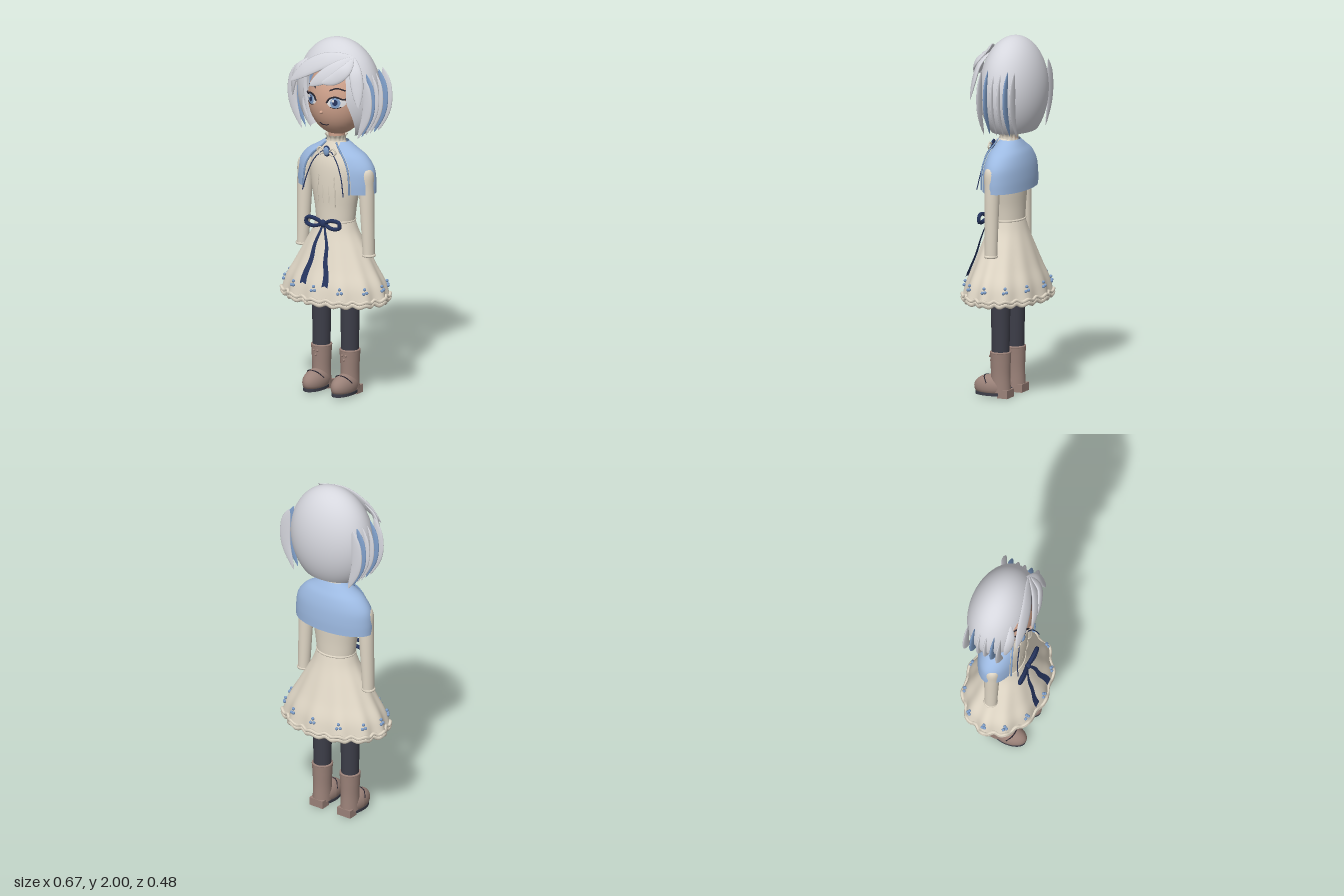
import * as THREE from 'three';
import { mergeVertices } from 'three/addons/utils/BufferGeometryUtils.js';

const V = (x, y, z) => new THREE.Vector3(x, y, z);
const mat = (name, color, double) => {
  const m = new THREE.MeshStandardMaterial({ color });
  m.name = name;
  if (double) m.side = THREE.DoubleSide;
  return m;
};

// smooth surface from a rule (u, v) -> point
function grid(fn, nu, nv) {
  const pos = [], idx = [];
  for (let j = 0; j <= nv; j++)
    for (let i = 0; i <= nu; i++) pos.push(...fn(i / nu, j / nv).toArray());
  for (let j = 0; j < nv; j++)
    for (let i = 0; i < nu; i++) {
      const a = j * (nu + 1) + i, d = a + nu + 1;
      idx.push(a, a + 1, d + 1, a, d + 1, d);
    }
  let g = new THREE.BufferGeometry();
  g.setAttribute('position', new THREE.Float32BufferAttribute(pos, 3));
  g.setIndex(idx);
  g = mergeVertices(g, 1e-5);
  g.computeVertexNormals();
  return g;
}

// elliptical cross-sections [y, rx, rz], bottom to top
function loft(rings, { cz = 0, gap = () => 0, flute = () => 1, nu = 48, nv = 24 } = {}) {
  const curve = new THREE.CatmullRomCurve3(rings.map(r => V(...r)), false, 'centripetal');
  return grid((u, v) => {
    const r = curve.getPoint(v), h = gap(v), a = h + u * (2 * Math.PI - 2 * h), f = flute(a, v);
    return V(r.y * f * Math.sin(a), r.x, cz + r.z * f * Math.cos(a));
  }, nu, nv);
}

// flattened pointed strand along a path
function leaf(pts, width, thick, normalAt) {
  const c = new THREE.CatmullRomCurve3(pts.map(p => V(...p)));
  return grid((u, v) => {
    const p = c.getPoint(v), t = c.getTangent(v), n = normalAt(p);
    const b = t.clone().cross(n).normalize(), a = u * 2 * Math.PI;
    const k = Math.pow(Math.sin(Math.PI * Math.min(0.999, Math.max(0.001, v))), 0.7);
    return p.addScaledVector(b, width * k * Math.cos(a)).addScaledVector(n, -thick * k * Math.sin(a));
  }, 14, 18);
}

const tube = (pts, r, closed = false, n = 24) =>
  new THREE.TubeGeometry(new THREE.CatmullRomCurve3(pts.map(p => V(...p)), closed), n, r, 6, closed);
const ball = (rx, ry = rx, rz = rx, n = 16) => new THREE.SphereGeometry(1, n * 2, n).scale(rx, ry, rz);

export function createModel() {
  const root = new THREE.Group();
  root.name = 'girlFigure';
  const skin = mat('skin', 0xcfa28c), hair = mat('silverHair', 0xd6d7de, true),
    cream = mat('creamCloth', 0xe0d7c6, true), cape = mat('capeBlue', 0x9dbae2, true),
    blue = mat('accentBlue', 0x7f9fca), navy = mat('navyRibbon', 0x26355f, true),
    tights = mat('darkTights', 0x3d3e49), boot = mat('bootBrown', 0x9b8279),
    white = mat('eyeWhite', 0xf1f1f4), dark = mat('darkLine', 0x2a2630);
  const add = (name, geo, m, x = 0, y = 0, z = 0) => {
    const o = new THREE.Mesh(geo, m);
    o.name = name;
    o.position.set(x, y, z);
    root.add(o);
    return o;
  };

  // head and neck
  const H = { y: 1.668, z: -0.015, rx: 0.165, ry: 0.208, rz: 0.152 };
  add('head', ball(H.rx, H.ry, H.rz, 24), skin, 0, H.y, H.z);
  add('neck', new THREE.CylinderGeometry(0.045, 0.045, 0.12, 24), skin, 0, 1.45, -0.01);
  const faceZ = (x, y) =>
    H.z + H.rz * Math.sqrt(Math.max(0, 1 - (x / H.rx) ** 2 - ((y - H.y) / H.ry) ** 2));

  // face details laid onto the head surface
  const patch = (name, x, y, rx, ry, off, m) => {
    const g = new THREE.RingGeometry(0.001, 1, 28, 5).scale(rx, ry, 1).translate(x, y, 0), p = g.attributes.position;
    for (let i = 0; i < p.count; i++) p.setZ(i, faceZ(p.getX(i), p.getY(i)) + off);
    g.computeVertexNormals();
    add(name, g, m);
  };
  const line = (name, pts, r, off, m) =>
    add(name, tube(pts.map(([x, y]) => [x, y, faceZ(x, y) + off]), r), m);
  for (const s of [1, -1]) {
    patch('eyeWhite', s * 0.082, 1.676, 0.046, 0.03, 0.004, white);
    patch('iris', s * 0.08, 1.676, 0.025, 0.029, 0.006, blue);
    patch('pupil', s * 0.08, 1.678, 0.013, 0.017, 0.008, navy);
    patch('eyeGlint', s * 0.08 - 0.009, 1.688, 0.007, 0.008, 0.01, white);
    line('upperLash', [[s * 0.034, 1.675], [s * 0.052, 1.7], [s * 0.083, 1.709], [s * 0.112, 1.697], [s * 0.136, 1.697]], 0.005, 0.007, dark);
    line('lowerLash', [[s * 0.055, 1.651], [s * 0.083, 1.645], [s * 0.11, 1.654]], 0.002, 0.006, dark);
    line('brow', [[s * 0.045, 1.742], [s * 0.08, 1.755], [s * 0.12, 1.742]], 0.004, 0.005, dark);
  }
  add('nose', ball(0.01, 0.009, 0.012, 8), skin, 0, 1.615, faceZ(0, 1.615) + 0.008);
  line('mouth', [[-0.03, 1.545], [-0.012, 1.537], [0, 1.538], [0.012, 1.537], [0.03, 1.545]], 0.003, 0.004, dark);

  // hair shell, open around the face
  const C = V(0, 1.7, -0.036), R = V(0.252, 0.3, 0.174);
  add('hairShell', grid((u, v) => {
    const e = -0.82 + v * (Math.PI / 2 + 0.82), y = C.y + R.y * Math.sin(e), k = Math.cos(e);
    const open = Math.min(1, Math.max(0, (1.885 - y) / 0.05));
    const h = open * (0.6 + 0.4 * Math.min(1, Math.max(0, (1.68 - y) / 0.2)));
    const a = h + u * (2 * Math.PI - 2 * h);
    return V(R.x * k * Math.sin(a), y, C.z + R.z * k * Math.cos(a));
  }, 64, 40), hair);

  // swept fringe
  const out = p => p.clone().sub(C).divide(R).divide(R).normalize();
  const fringe = [
    [0.047, [[0.15, 1.935, 0.05], [0.02, 1.91, 0.105], [-0.11, 1.84, 0.135], [-0.2, 1.765, 0.145]]],
    [0.043, [[0.16, 1.935, 0.05], [0.1, 1.88, 0.115], [0.02, 1.82, 0.155], [-0.06, 1.765, 0.172]]],
    [0.036, [[0.16, 1.93, 0.06], [0.145, 1.87, 0.12], [0.09, 1.82, 0.15], [0.02, 1.79, 0.17]]],
    [0.036, [[0.15, 1.93, 0.04], [0.19, 1.86, 0.085], [0.215, 1.77, 0.105], [0.232, 1.67, 0.12]]],
    [0.032, [[-0.13, 1.89, 0.08], [-0.18, 1.83, 0.1], [-0.21, 1.75, 0.1], [-0.225, 1.66, 0.09]]],
  ];
  for (const [w, pts] of fringe) add('fringeLock', leaf(pts, w, 0.011, out), hair);

  // side locks, some tinted blue
  const locks = [[-0.14, 0.036, 0], [-0.1, 0.03, 1], [-0.06, 0.022, 0], [-0.02, 0.022, 0], [0.02, 0.024, 1], [0.058, 0.032, 0]];
  for (const s of [1, -1])
    for (const [z, w, tint] of locks) {
      const i = -0.02 * Math.max(0, Math.abs(z + 0.02) - 0.05) * 5;
      add('sideLock', leaf([[s * 0.215, 1.84, z], [s * (0.246 + i), 1.75, z], [s * (0.245 + i), 1.62, z], [s * 0.185, 1.475, z]],
        w, 0.008, () => V(0, 0, 1)), tint ? blue : hair);
    }

  // bodice, collar and pleats
  add('bodice', loft([[0.97, 0.113, 0.09], [1.06, 0.125, 0.092], [1.18, 0.148, 0.098], [1.3, 0.15, 0.092], [1.38, 0.09, 0.07], [1.43, 0.05, 0.05]]), cream);
  add('collar', loft([[1.405, 0.055, 0.055], [1.44, 0.05, 0.05], [1.462, 0.06, 0.06]],
    { cz: -0.005, flute: (a, v) => 1 + 0.07 * v * Math.cos(14 * a), nu: 84, nv: 8 }), cream);
  for (const s of [1, -1])
    for (const [x, y0, y1] of [[0.018, 1.06, 1.23], [0.055, 1.07, 1.24]])
      add('bodicePleat', tube([[s * x, y0, 0.086], [s * x * 1.05, (y0 + y1) / 2, 0.094], [s * x * 0.9, y1, 0.092]], 0.004), cream);

  // capelet with trimmed front edges
  const capeRings = [[1.155, 0.246, 0.122], [1.22, 0.246, 0.122], [1.29, 0.235, 0.115], [1.35, 0.19, 0.098], [1.39, 0.125, 0.075], [1.425, 0.07, 0.053]];
  add('capelet', loft(capeRings, { cz: -0.014, gap: v => 0.68 - 0.22 * v * v }), cape);
  for (const s of [1, -1]) {
    add('capeTrim', tube(capeRings.map(([y, rx, rz], i) => {
      const a = 0.66 - 0.008 * i * i;
      return [s * rx * Math.sin(a), y, rz * Math.cos(a) - 0.006];
    }), 0.005), blue);
    add('neckRibbon', tube([[s * 0.03, 1.38, 0.085], [s * 0.075, 1.33, 0.1], [s * 0.11, 1.25, 0.11], [s * 0.135, 1.15, 0.125]], 0.003), navy);
    add('collarBowLoop', tube([[s * 0.015, 1.38, 0.088], [s * 0.045, 1.4, 0.09], [s * 0.06, 1.378, 0.09], [s * 0.04, 1.362, 0.09]], 0.005, true), cream);
  }
  add('broochFrame', ball(0.024, 0.031, 0.008), navy, 0, 1.382, 0.087);
  add('broochStone', ball(0.018, 0.025, 0.01), blue, 0, 1.382, 0.092);

  // skirt with fluted hem and closed underside
  const flute = (a, v) => 1 + 0.034 * Math.max(0, 1 - v) ** 1.5 * Math.cos(12 * a);
  add('skirt', loft([[0.56, 0.315, 0.222], [0.64, 0.292, 0.205], [0.73, 0.242, 0.172], [0.83, 0.185, 0.138], [0.92, 0.135, 0.108], [0.985, 0.112, 0.09]],
    { flute, nu: 144, nv: 28 }), cream);
  add('skirtUnderside', grid((u, v) => {
    const a = u * 2 * Math.PI, k = (0.001 + v) * flute(a, 1 - v);
    return V(0.313 * k * Math.sin(a), 0.575 - 0.022 * v, 0.22 * k * Math.cos(a));
  }, 144, 10), cream);
  for (const [y, f, r] of [[0.568, 1.0, 0.01], [0.549, 0.985, 0.013]]) {
    const pts = [];
    for (let i = 0; i < 144; i++) {
      const a = i / 144 * 2 * Math.PI, k = f * flute(a, 0);
      pts.push([0.315 * k * Math.sin(a), y + 0.006 * Math.cos(24 * a), 0.222 * k * Math.cos(a)]);
    }
    add('hemRuffle', tube(pts, r, true, 288), cream);
  }
  add('waistband', new THREE.TorusGeometry(1, 0.06, 8, 48).rotateX(Math.PI / 2).scale(0.112, 0.1, 0.091), cream, 0, 0.982, 0);

  // flower beads around the hem
  for (let i = 0; i < 12; i++) {
    const a = i * Math.PI / 6;
    for (const [da, y] of [[-0.035, 0.618], [0.035, 0.622], [0, 0.642]]) {
      const k = y > 0.63 ? 0.298 : 0.305;
      add('flowerBead', ball(0.009, 0.009, 0.009, 6), blue, k * 1.025 * Math.sin(a + da), y, k * 0.72 * Math.cos(a + da));
    }
  }

  // waist bow
  add('bowKnot', ball(0.02, 0.022, 0.016), navy, 0, 0.978, 0.122);
  for (const s of [1, -1]) {
    const loop = tube([[s * 0.012, 0.978, 0], [s * 0.06, 1.003, 0.006], [s * 0.105, 0.997, 0.004], [s * 0.108, 0.968, 0.004], [s * 0.06, 0.958, 0.006]], 0.011, true, 40);
    add('bowLoop', loop, navy, 0, 0, 0.12);
    add('bowTail', grid((u, v) => {
      const y = 0.655 + 0.315 * v, w = 0.006 + 0.014 * (1 - v);
      const x = 0.008 + 0.064 * Math.pow(1 - v, 0.8) + 0.004 * Math.sin(v * 12);
      return V(s * x + (u - 0.5) * 2 * w, y - (v === 0 ? 0.02 * Math.abs(u - 0.5) : 0), 0.214 - 0.097 * Math.pow(v, 0.8));
    }, 4, 16), navy);
  }

  for (const s of [1, -1]) {
    // sleeve
    const arm = loft([[0.8, 0.032, 0.036], [0.83, 0.033, 0.036], [1.0, 0.038, 0.039], [1.18, 0.043, 0.042], [1.28, 0.04, 0.04], [1.315, 0.002, 0.002]], { nu: 24 });
    const p = arm.attributes.position;
    for (let i = 0; i < p.count; i++) p.setX(i, p.getX(i) + s * (0.203 + 0.04 * (1.2 - p.getY(i))));
    add('sleeve', arm, cream);
    add('sleeveEnd', new THREE.CylinderGeometry(0.031, 0.031, 0.01, 20), cream, s * 0.219, 0.806, 0);
    add('cuff', new THREE.TorusGeometry(0.031, 0.008, 8, 24).rotateX(Math.PI / 2), cream, s * 0.219, 0.806, 0);

    // leg and boot
    const x = s * 0.094;
    add('leg', new THREE.CylinderGeometry(0.055, 0.048, 0.36, 28), tights, x, 0.4, 0);
    add('bootShaft', loft([[0.03, 0.052, 0.058], [0.12, 0.05, 0.054], [0.2, 0.054, 0.056], [0.25, 0.058, 0.058]], { nu: 28 }), boot, x);
    add('bootCuff', new THREE.TorusGeometry(0.052, 0.007, 8, 28).rotateX(Math.PI / 2), boot, x, 0.249, 0);
    const foot = ball(0.06, 0.068, 0.106), q = foot.attributes.position;
    for (let i = 0; i < q.count; i++) q.setY(i, Math.max(-0.03, q.getY(i)));
    foot.computeVertexNormals();
    add('bootFoot', foot, boot, x, 0.055, 0.05);
    add('sole', new THREE.CylinderGeometry(1, 1, 0.016, 32).scale(0.054, 1, 0.1), tights, x, 0.018, 0.05);
    add('heel', new THREE.BoxGeometry(0.09, 0.045, 0.06), boot, x, 0.0225, -0.03);
    add('bootStrap', tube([[x - 0.057, 0.08, 0.06], [x - 0.03, 0.112, 0.085], [x, 0.118, 0.09], [x + 0.03, 0.112, 0.085], [x + 0.057, 0.08, 0.06]], 0.003), dark);
    for (const [dx, y] of [[-0.012, 0.225], [0.012, 0.225], [0, 0.2]])
      add('bootBead', ball(0.007, 0.007, 0.007, 6), boot, x + dx, y, 0.058);
  }
  return root;
}
